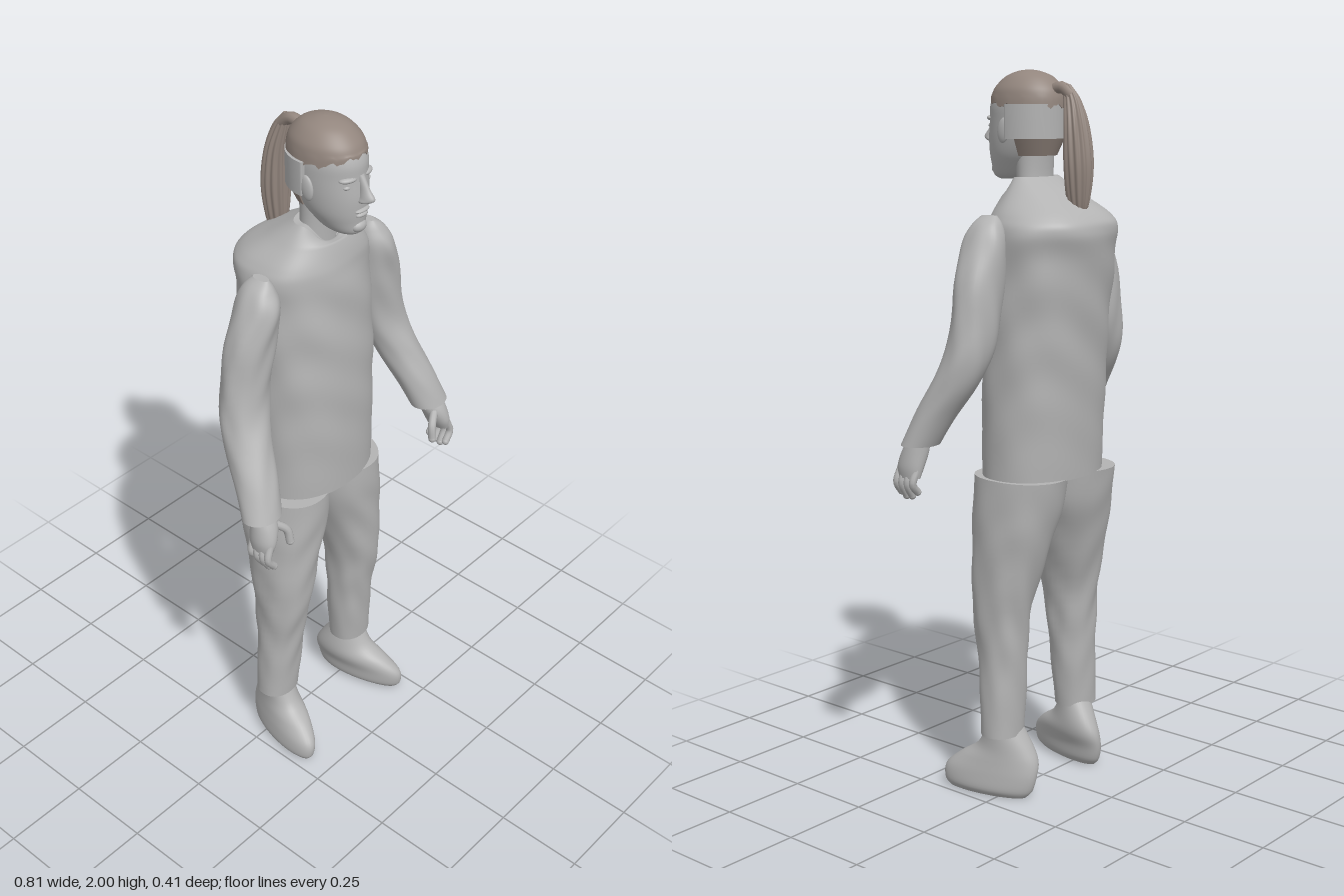
import * as THREE from 'three';

const clothSkin = new THREE.MeshStandardMaterial({ color: 0xb3b3b3 });
clothSkin.name = 'pale grey';
const hairBrown = new THREE.MeshStandardMaterial({ color: 0x93867e });
hairBrown.name = 'grey brown';

const spline = (a, b, c, d, t) =>
  0.5 * (2 * b + (c - a) * t + (2 * a - 5 * b + 4 * c - d) * t * t + (3 * b - a - 3 * c + d) * t * t * t);

// Smooth skin over horizontal sections [y, xMin, xMax, zBack, zFront], listed from bottom to top.
// side = -1 mirrors in x; tweak(point, angle, v) adjusts each point.
function loft(rows, { side = 1, power = 2, seg = 40, sub = 5, tweak } = {}) {
  const pos = [], idx = [], last = rows.length - 1, n = last * sub;
  const shape = (v) => Math.sign(v) * Math.abs(v) ** (2 / power);
  const p = new THREE.Vector3();
  for (let i = 0; i <= n; i++) {
    const k = Math.min(Math.floor(i / sub), last - 1), t = i / sub - k;
    const row = (j) => rows[Math.max(0, Math.min(last, j))];
    const [y, x0, x1, z0, z1] = rows[0].map((_, c) =>
      spline(row(k - 1)[c], row(k)[c], row(k + 1)[c], row(k + 2)[c], t));
    for (let j = 0; j < seg; j++) {
      const a = (j / seg) * Math.PI * 2;
      p.set((x0 + x1) / 2 + shape(Math.sin(a)) * (x1 - x0) / 2, y,
        (z0 + z1) / 2 + shape(Math.cos(a)) * (z1 - z0) / 2);
      if (tweak) tweak(p, a, i / n);
      pos.push(side * p.x, p.y, p.z);
    }
  }
  const tri = (a, b, c) => (side > 0 ? idx.push(a, b, c) : idx.push(a, c, b));
  for (let i = 0; i < n; i++) for (let j = 0; j < seg; j++) {
    const a = i * seg + j, b = i * seg + (j + 1) % seg;
    tri(a, b, a + seg);
    tri(b, b + seg, a + seg);
  }
  // End caps with their own corners, so the rims stay crisp
  for (const i of [0, n]) {
    const start = pos.length / 3, c = [0, 0, 0];
    for (let j = 0; j < seg; j++) for (let k = 0; k < 3; k++) {
      const v = pos[(i * seg + j) * 3 + k];
      pos.push(v);
      c[k] += v / seg;
    }
    pos.push(...c);
    for (let j = 0; j < seg; j++) {
      const a = start + j, b = start + (j + 1) % seg;
      i ? tri(start + seg, a, b) : tri(start + seg, b, a);
    }
  }
  const g = new THREE.BufferGeometry();
  g.setAttribute('position', new THREE.Float32BufferAttribute(pos, 3));
  g.setIndex(idx);
  g.computeVertexNormals();
  return g;
}

// Soft cloth folds
const folds = (amount) => (p, a, v) => {
  const edge = Math.sin(Math.PI * v);
  const w = amount * edge * (Math.sin(p.y * 38 + 3 * Math.sin(a * 2)) + Math.sin(a * 7 + p.y * 21) * 0.6);
  p.x += Math.sin(a) * w;
  p.z += Math.cos(a) * w;
};

export function createModel() {
  const model = new THREE.Group();
  model.name = 'standingFigure';
  const add = (name, geometry, material = clothSkin, parent = model) => {
    const m = new THREE.Mesh(geometry, material);
    m.name = name;
    parent.add(m);
    return m;
  };
  const ball = (name, parent, x, y, z, rx, ry, rz) => {
    const m = add(name, new THREE.SphereGeometry(1, 20, 14), clothSkin, parent);
    m.position.set(x, y, z);
    m.scale.set(rx, ry, rz);
    return m;
  };

  // Jacket body with a dipped front neckline
  const jacketFolds = folds(0.0025);
  add('jacket', loft([
    [0.91, -0.178, 0.2, -0.145, 0.13], [1.1, -0.178, 0.2, -0.155, 0.133],
    [1.3, -0.178, 0.2, -0.168, 0.13], [1.5, -0.178, 0.2, -0.188, 0.118],
    [1.58, -0.178, 0.2, -0.2, 0.11], [1.62, -0.16, 0.18, -0.18, 0.104],
    [1.67, -0.112, 0.132, -0.105, 0.088], [1.72, -0.07, 0.086, -0.025, 0.062],
  ], { power: 2.2, seg: 64, sub: 10, tweak: (p, a, v) => {
    jacketFolds(p, a, v);
    if (v > 0.86) p.y -= 0.06 * Math.max(0, Math.cos(a)) ** 3 * (v - 0.86) / 0.14;
  } }));

  for (const side of [1, -1]) {
    const limb = new THREE.Group();
    limb.name = side > 0 ? 'leftLimbs' : 'rightLimbs';
    model.add(limb);

    // Sleeve, bent at the elbow
    add('sleeve', loft([
      [1.02, 0.288, 0.405, 0.09, 0.186], [1.1, 0.266, 0.386, 0.045, 0.157],
      [1.2, 0.236, 0.364, -0.02, 0.112], [1.3, 0.202, 0.344, -0.045, 0.075],
      [1.45, 0.172, 0.318, -0.047, 0.075], [1.55, 0.168, 0.277, -0.045, 0.082],
      [1.6, 0.176, 0.248, -0.03, 0.06], [1.625, 0.19, 0.216, -0.01, 0.04],
    ], { side, tweak: folds(0.0015) }), clothSkin, limb);

    // Trouser leg
    add('trouserLeg', loft([
      [0.18, 0.1, 0.228, -0.042, 0.066], [0.3, 0.09, 0.225, -0.045, 0.075],
      [0.42, 0.085, 0.22, -0.05, 0.088], [0.55, 0.075, 0.224, -0.062, 0.11],
      [0.73, 0.028, 0.224, -0.105, 0.12], [0.83, 0, 0.219, -0.13, 0.127],
      [0.913, -0.002, 0.212, -0.145, 0.128],
    ], { side, power: 2.2, tweak: folds(0.002) }), clothSkin, limb);

    // Shoe, toe turned outward
    add('shoe', loft([
      [0, 0.135, 0.205, -0.065, 0.175], [0.02, 0.118, 0.218, -0.082, 0.188],
      [0.06, 0.112, 0.216, -0.092, 0.186], [0.1, 0.1, 0.21, -0.09, 0.145],
      [0.14, 0.1, 0.205, -0.072, 0.088], [0.2, 0.108, 0.205, -0.036, 0.055],
    ], { side, tweak: (p) => { p.x += 0.2 * p.z; } }), clothSkin, limb);

    // Hand: palm, four curled fingers and a thumb
    const hand = new THREE.Group();
    hand.name = 'hand';
    limb.add(hand);
    add('palm', loft([
      [0.93, 0.352, 0.39, 0.122, 0.195], [0.96, 0.335, 0.393, 0.117, 0.2],
      [1.0, 0.318, 0.388, 0.113, 0.19], [1.04, 0.318, 0.38, 0.112, 0.168],
    ], { side, seg: 24 }), clothSkin, hand);
    const bone = (name, r, ...pts) => {
      const path = new THREE.CatmullRomCurve3(pts.map(([x, y, z]) => new THREE.Vector3(side * x, y, z)));
      add(name, new THREE.TubeGeometry(path, 10, r, 10), clothSkin, hand);
      const [x, y, z] = pts[pts.length - 1];
      ball(name + 'Tip', hand, side * x, y, z, r, r, r);
    };
    [0.13, 0.15, 0.17, 0.189].forEach((z, i) => {
      const drop = [0.015, 0.002, 0, 0.01][i];
      bone('finger', 0.0105, [0.37, 0.955, z], [0.384, 0.915, z + 0.004], [0.364, 0.876 + drop, z + 0.006]);
    });
    bone('thumb', 0.0115, [0.335, 1.0, 0.17], [0.305, 0.97, 0.188], [0.3, 0.932, 0.195]);
  }

  // Head and neck
  const head = new THREE.Group();
  head.name = 'head';
  model.add(head);
  const cx = 0.008;
  const ring = (y, w, back, front) => [y, cx - w, cx + w, back, front];
  add('neck', loft([ring(1.64, 0.064, -0.03, 0.062), ring(1.72, 0.058, -0.022, 0.065),
    ring(1.82, 0.058, -0.03, 0.075)]), clothSkin, head);
  add('skull', loft([
    ring(1.71, 0.02, 0.09, 0.142), ring(1.722, 0.042, 0.04, 0.158), ring(1.75, 0.06, 0.005, 0.161),
    ring(1.78, 0.073, -0.025, 0.164), ring(1.82, 0.081, -0.05, 0.165), ring(1.87, 0.085, -0.06, 0.16),
    ring(1.91, 0.085, -0.061, 0.157), ring(1.95, 0.077, -0.05, 0.137), ring(1.98, 0.052, -0.02, 0.1),
    ring(1.992, 0.015, 0.03, 0.06),
  ]), clothSkin, head);
  add('nose', loft([
    ring(1.806, 0.01, 0.15, 0.172), ring(1.813, 0.017, 0.15, 0.19), ring(1.824, 0.014, 0.15, 0.2),
    ring(1.845, 0.01, 0.15, 0.184), ring(1.88, 0.009, 0.145, 0.164),
  ], { seg: 20 }), clothSkin, head);
  ball('upperLip', head, cx, 1.785, 0.161, 0.025, 0.006, 0.011);
  ball('lowerLip', head, cx, 1.773, 0.16, 0.021, 0.007, 0.011);
  ball('chin', head, cx, 1.737, 0.15, 0.024, 0.017, 0.018);
  for (const s of [-1, 1]) {
    ball('brow', head, cx + s * 0.034, 1.873, 0.143, 0.025, 0.008, 0.014).rotation.y = s * 0.35;
    ball('eyelid', head, cx + s * 0.034, 1.853, 0.142, 0.015, 0.007, 0.01);
    const ear = ball('ear', head, cx + s * 0.088, 1.842, 0.058, 0.009, 0.034, 0.02);
    ear.rotation.x = -0.15;
  }
  // Raised band wrapped round the back of the head
  add('headBand', loft([ring(1.82, 0.098, -0.062, 0.15), ring(1.91, 0.098, -0.064, 0.15)],
    { sub: 1, tweak: (p) => { p.z = Math.min(p.z, 0.048); } }), clothSkin, head);

  // Hair: ragged cap, nape patch, tie and ridged ponytail
  const hair = new THREE.Group();
  hair.name = 'hair';
  model.add(hair);
  add('hairCap', loft([
    ring(1.905, 0.09, -0.066, 0.154), ring(1.93, 0.087, -0.064, 0.152), ring(1.955, 0.079, -0.054, 0.14),
    ring(1.982, 0.056, -0.027, 0.11), ring(1.996, 0.028, 0.01, 0.075), ring(2, 0.004, 0.035, 0.045),
  ], { seg: 72, tweak: (p, a, v) => {
    const low = Math.max(0, 1 - v * 4);
    p.y += low * (0.022 * Math.max(0, Math.cos(a)) ** 2 + 0.005 * Math.sin(a * 13) + 0.003 * Math.sin(a * 29));
  } }), hairBrown, hair);
  add('napeHair', loft([ring(1.775, 0.066, -0.036, 0.1), ring(1.822, 0.086, -0.056, 0.1)],
    { sub: 1, tweak: (p) => { p.z = Math.min(p.z, 0.025); } }), hairBrown, hair);
  const tie = new THREE.CatmullRomCurve3([[-0.03, 1.945], [-0.075, 1.953], [-0.108, 1.93]]
    .map(([z, y]) => new THREE.Vector3(0.01, y, z)));
  add('hairTie', new THREE.TubeGeometry(tie, 8, 0.016, 12), hairBrown, hair);
  add('ponytail', loft([
    [1.6, 0.004, 0.012, -0.136, -0.126], [1.65, -0.014, 0.034, -0.157, -0.1],
    [1.75, -0.027, 0.048, -0.168, -0.092], [1.85, -0.023, 0.043, -0.155, -0.09],
    [1.92, -0.008, 0.028, -0.132, -0.082], [1.962, 0.004, 0.016, -0.1, -0.075],
  ], { seg: 72, tweak: (p, a, v) => {
    const w = 0.003 * Math.sin(Math.PI * v) * Math.sin(a * 12 + v * 3);
    p.x += Math.sin(a) * w;
    p.z += Math.cos(a) * w;
  } }), hairBrown, hair);

  return model;
}
